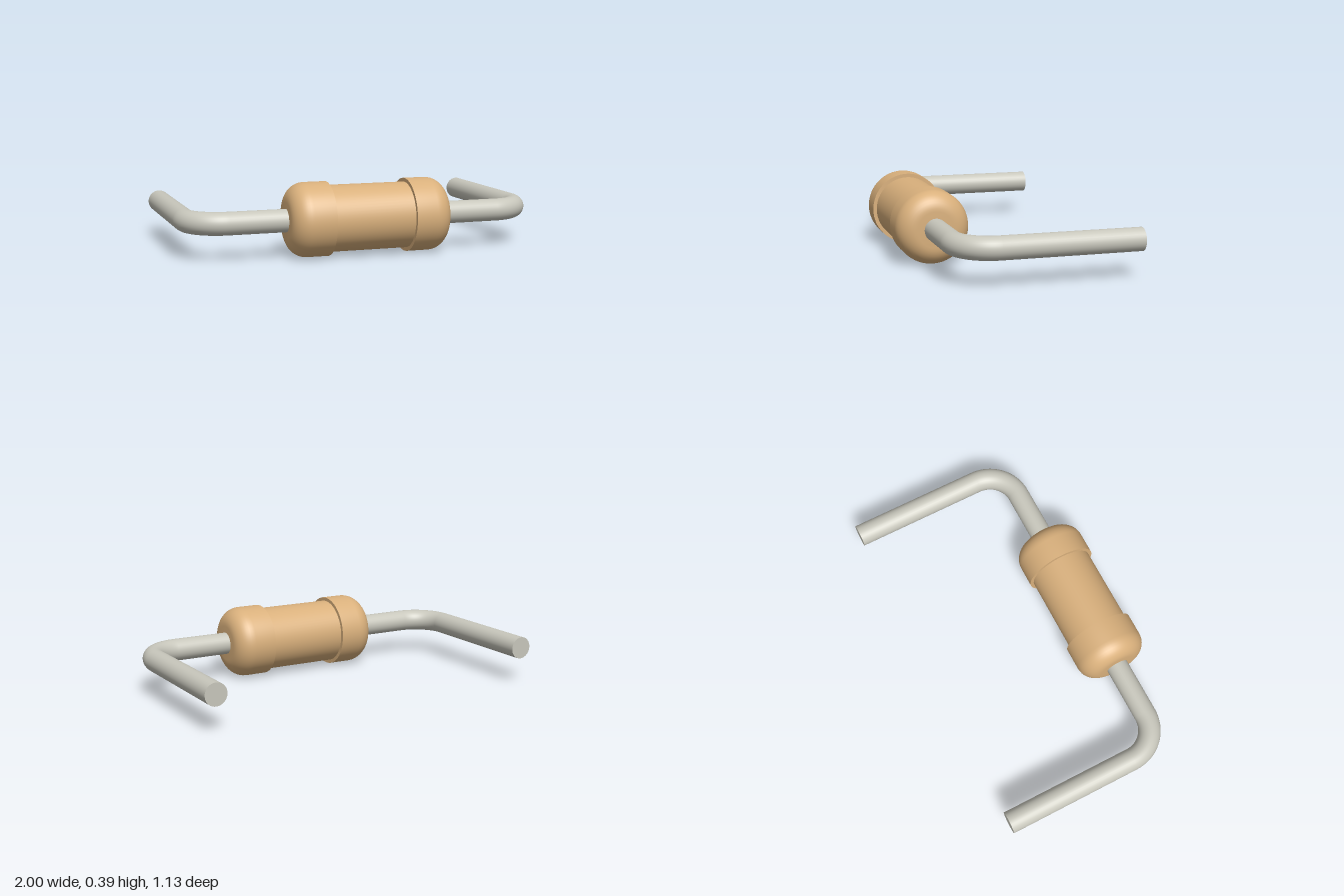
import * as THREE from 'three';
import { mergeGeometries, toCreasedNormals } from 'three/addons/utils/BufferGeometryUtils.js';

const R = 0.197;        // end cap radius
const WAIST = 0.177;    // middle radius
const HALF = 0.44;      // half body length
const STEP = 0.22;      // where the caps begin
const FILLET = 0.1;     // rounding of the cap ends
const AXIS_Z = 0.367;   // body axis
const BACK_Z = -0.567;  // cut ends of the leads
const WIRE = 0.061;     // lead radius
const WIRE_X = 1 - WIRE;
const BEND = 0.187;     // bend radius on the wire centreline

// Turned body: two rounded caps with a slimmer waist between them
function bodyGeometry() {
  const half = [new THREE.Vector2(WAIST, STEP), new THREE.Vector2(R, STEP)];
  for (let i = 0; i <= 10; i++) {
    const a = (i / 10) * Math.PI / 2;
    half.push(new THREE.Vector2(R - FILLET + FILLET * Math.cos(a), HALF - FILLET + FILLET * Math.sin(a)));
  }
  half.push(new THREE.Vector2(0, HALF));
  const mirrored = half.map(p => new THREE.Vector2(p.x, -p.y)).reverse();
  const lathe = new THREE.LatheGeometry([...mirrored, ...half], 64);
  return toCreasedNormals(lathe.rotateZ(-Math.PI / 2), 0.6);
}

// One lead: straight out of the body, a quarter bend, then straight back
function leadGeometry() {
  const x0 = HALF - 0.03, x1 = WIRE_X - BEND;
  const z1 = AXIS_Z - BEND;
  const out = new THREE.CylinderGeometry(WIRE, WIRE, x1 - x0, 32, 1, true)
    .rotateZ(-Math.PI / 2).translate((x0 + x1) / 2, 0, AXIS_Z);
  const bend = new THREE.TorusGeometry(BEND, WIRE, 32, 20, Math.PI / 2)
    .rotateX(Math.PI / 2).translate(x1, 0, z1);
  const back = new THREE.CylinderGeometry(WIRE, WIRE, z1 - BACK_Z, 32, 1, true)
    .rotateX(Math.PI / 2).translate(WIRE_X, 0, (z1 + BACK_Z) / 2);
  const end = new THREE.CircleGeometry(WIRE, 32)
    .rotateY(Math.PI).translate(WIRE_X, 0, BACK_Z);
  return mergeGeometries([out, bend, back, end]);
}

export function createModel() {
  const model = new THREE.Group();
  model.name = 'resistor';
  const tan = new THREE.MeshStandardMaterial({ color: 0xd9b07c });
  const metal = new THREE.MeshStandardMaterial({ color: 0xc8c7bc });

  const body = new THREE.Mesh(bodyGeometry(), tan);
  body.name = 'body';
  body.position.set(0, R, AXIS_Z);
  model.add(body);

  // The right lead is the left one turned half round the z axis
  const geometry = leadGeometry();
  for (const [name, turn] of [['leftLead', 0], ['rightLead', Math.PI]]) {
    const lead = new THREE.Mesh(geometry, metal);
    lead.name = name;
    lead.position.y = R;
    lead.rotation.z = turn;
    model.add(lead);
  }
  return model;
}
